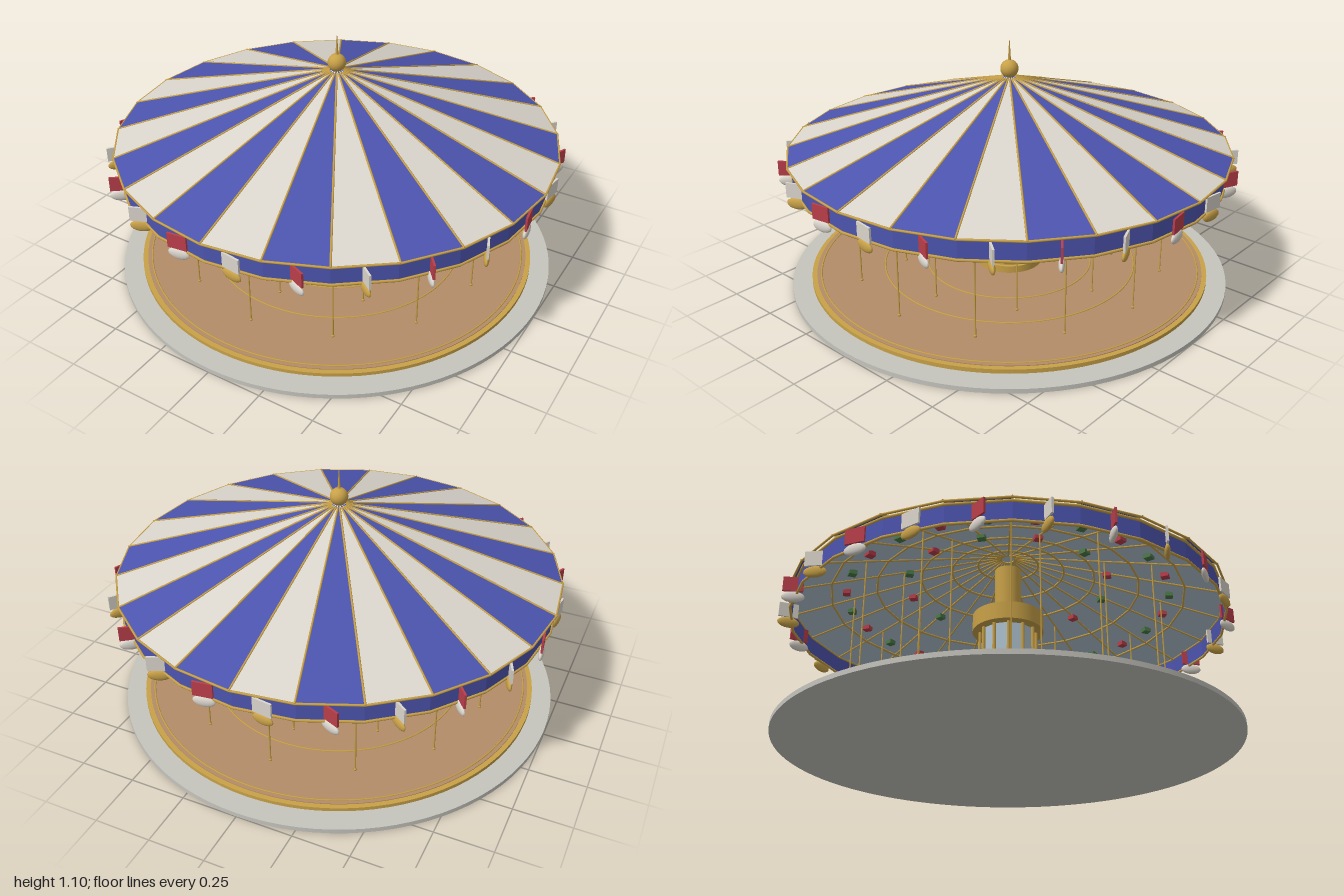
import * as THREE from 'three';
import { mergeGeometries } from 'three/addons/utils/BufferGeometryUtils.js';

const mat = (name, color, side = THREE.FrontSide) => {
  const m = new THREE.MeshStandardMaterial({ color, side });
  m.name = name;
  return m;
};

const SIDES = 24, STEP = (Math.PI * 2) / SIDES;
const RIM = 0.985, APEX_Y = 0.95, RIM_Y = 0.637;
const roofY = (r) => APEX_Y - (APEX_Y - RIM_Y) * (r / RIM);
// point on a circle, angle measured from the front (+z) towards +x
const polar = (r, a, y) => new THREE.Vector3(r * Math.sin(a), y, r * Math.cos(a));

export function createModel() {
  const model = new THREE.Group();
  model.name = 'carousel';

  const blue = mat('canopy blue', 0x4c54ae, THREE.DoubleSide);
  const cream = mat('cream', 0xdad5cc);
  const gold = mat('gold', 0xc8a148);
  const red = mat('red', 0xb93e4a);
  const green = mat('green', 0x4c7a48);
  const stone = mat('stone grey', 0xc5c4bd);
  const wood = mat('floor wood', 0xb48c69);
  const mirror = mat('mirror blue grey', 0xb2c5d2, THREE.DoubleSide);

  const add = (name, geo, material, y = 0) => {
    const mesh = new THREE.Mesh(geo, material);
    mesh.name = name;
    mesh.position.y = y;
    model.add(mesh);
    return mesh;
  };
  const flat = (geo) => {
    const g = geo.toNonIndexed();
    g.computeVertexNormals();
    return g;
  };
  const drum = (name, r, y0, y1, material) =>
    add(name, new THREE.CylinderGeometry(r, r, y1 - y0, 96), material, (y0 + y1) / 2);
  const ring = (name, r, tube, y, segments = 96) =>
    add(name, new THREE.TorusGeometry(r, tube, 6, segments).rotateX(Math.PI / 2), gold, y);
  const rod = (a, b, r, sides = 6) => {
    const d = b.clone().sub(a);
    const q = new THREE.Quaternion().setFromUnitVectors(new THREE.Vector3(0, 1, 0), d.clone().normalize());
    const g = new THREE.CylinderGeometry(r, r, d.length(), sides).applyQuaternion(q);
    const c = a.clone().add(b).multiplyScalar(0.5);
    return g.translate(c.x, c.y, c.z);
  };

  // ground plinth and floor
  drum('basePlinth', 1, 0.005, 0.025, stone);
  drum('platformStep', 0.9, 0.025, 0.036, gold);
  drum('platformRim', 0.912, 0.036, 0.052, gold);
  drum('floor', 0.89, 0.05, 0.055, wood);
  for (const r of [0.38, 0.58, 0.87]) ring('floorRing', r, 0.004, 0.055);

  // mirrored centre column
  drum('columnBase', 0.152, 0.055, 0.088, gold);
  drum('columnBaseStep', 0.138, 0.088, 0.1, gold);
  add('columnMirrors', flat(new THREE.CylinderGeometry(0.118, 0.118, 0.5, 12, 1, true)), mirror, 0.34);
  drum('columnTop', 0.16, 0.545, 0.625, gold);
  drum('columnCore', 0.06, 0.6, 0.86, gold);
  const posts = [];
  for (let i = 0; i < 12; i++) {
    const a = (i * Math.PI) / 6;
    posts.push(rod(polar(0.126, a, 0.09), polar(0.126, a, 0.56), 0.008, 8));
  }
  add('columnPosts', mergeGeometries(posts), gold);

  // riding poles in two circles, with a small collar at the floor
  const poles = [];
  for (const [count, r] of [[8, 0.483], [12, 0.7]]) {
    for (let i = 0; i < count; i++) {
      const a = (i * Math.PI * 2) / count;
      const foot = polar(r, a, 0.06);
      poles.push(rod(foot, polar(r, a, roofY(r) - 0.02), 0.0035));
      poles.push(new THREE.SphereGeometry(0.007, 8, 6).translate(foot.x, foot.y, foot.z));
    }
  }
  add('ridingPoles', mergeGeometries(poles), gold);

  // striped canopy, one flat panel per stripe
  const stripes = [[], []];
  const ribs = [];
  for (let i = 0; i < SIDES; i++) {
    const h = APEX_Y - RIM_Y;
    const panel = new THREE.ConeGeometry(RIM, h, 1, 1, true, i * STEP, STEP);
    stripes[i % 2].push(flat(panel.translate(0, RIM_Y + h / 2, 0)));
    for (const drop of [0, 0.015]) {
      ribs.push(rod(polar(0.03, i * STEP, roofY(0.03) - drop),
        polar(RIM - drop, i * STEP, roofY(RIM - drop) - drop), 0.0045));
    }
  }
  add('creamStripes', mergeGeometries(stripes[0]), cream);
  add('blueStripes', mergeGeometries(stripes[1]), blue);
  add('canopyRibs', mergeGeometries(ribs), gold);
  ring('canopyEdge', RIM - 0.003, 0.005, RIM_Y - 0.002, SIDES);

  // ceiling lining with hoops and coloured blocks
  const lining = new THREE.ConeGeometry(0.965, roofY(0) - roofY(0.965), SIDES, 1, true);
  add('ceiling', flat(lining), mirror, (roofY(0) + roofY(0.965)) / 2 - 0.012);
  for (const r of [0.14, 0.26, 0.4, 0.6, 0.8]) ring('ceilingHoop', r, 0.005, roofY(r) - 0.016, SIDES);
  const blocks = [[], []];
  for (const [count, r] of [[24, 0.73], [12, 0.46]]) {
    for (let i = 0; i < count; i++) {
      const a = (i + 0.5) * ((Math.PI * 2) / count);
      const p = polar(r, a, roofY(r) - 0.024);
      blocks[i % 2].push(new THREE.BoxGeometry(0.034, 0.02, 0.034).rotateY(a).translate(p.x, p.y, p.z));
    }
  }
  add('redCeilingBlocks', mergeGeometries(blocks[0]), red);
  add('greenCeilingBlocks', mergeGeometries(blocks[1]), green);

  // valance band with gold edging
  add('valance', flat(new THREE.CylinderGeometry(0.965, 0.965, 0.085, SIDES, 1, true)), blue, 0.5875);
  ring('valanceTopTrim', 0.967, 0.006, 0.629, SIDES);
  ring('valanceBottomTrim', 0.967, 0.006, 0.545, SIDES);

  // square plates and oval drops hung along the valance, turned against the circle
  for (let i = 0; i < SIDES; i++) {
    const a = (i + 0.5) * STEP;
    const plate = add('valancePlate', new THREE.BoxGeometry(0.085, 0.065, 0.009), i % 2 ? red : cream);
    plate.position.copy(polar(0.975, a, 0.588));
    plate.rotation.y = -a;
    const drop = add('valanceDrop', new THREE.SphereGeometry(1, 16, 10), i % 2 ? cream : gold);
    drop.position.copy(polar(0.972, a, 0.53));
    drop.scale.set(0.048, 0.025, 0.012);
    drop.rotation.y = -a;
  }

  // finial
  add('finialBall', new THREE.SphereGeometry(0.04, 24, 16), gold, 0.98);
  add('finialSpike', new THREE.CylinderGeometry(0.0015, 0.007, 0.09, 8), gold, 1.06);

  model.position.y = -0.005;
  const root = new THREE.Group();
  root.name = 'carouselRoot';
  root.add(model);
  return root;
}
